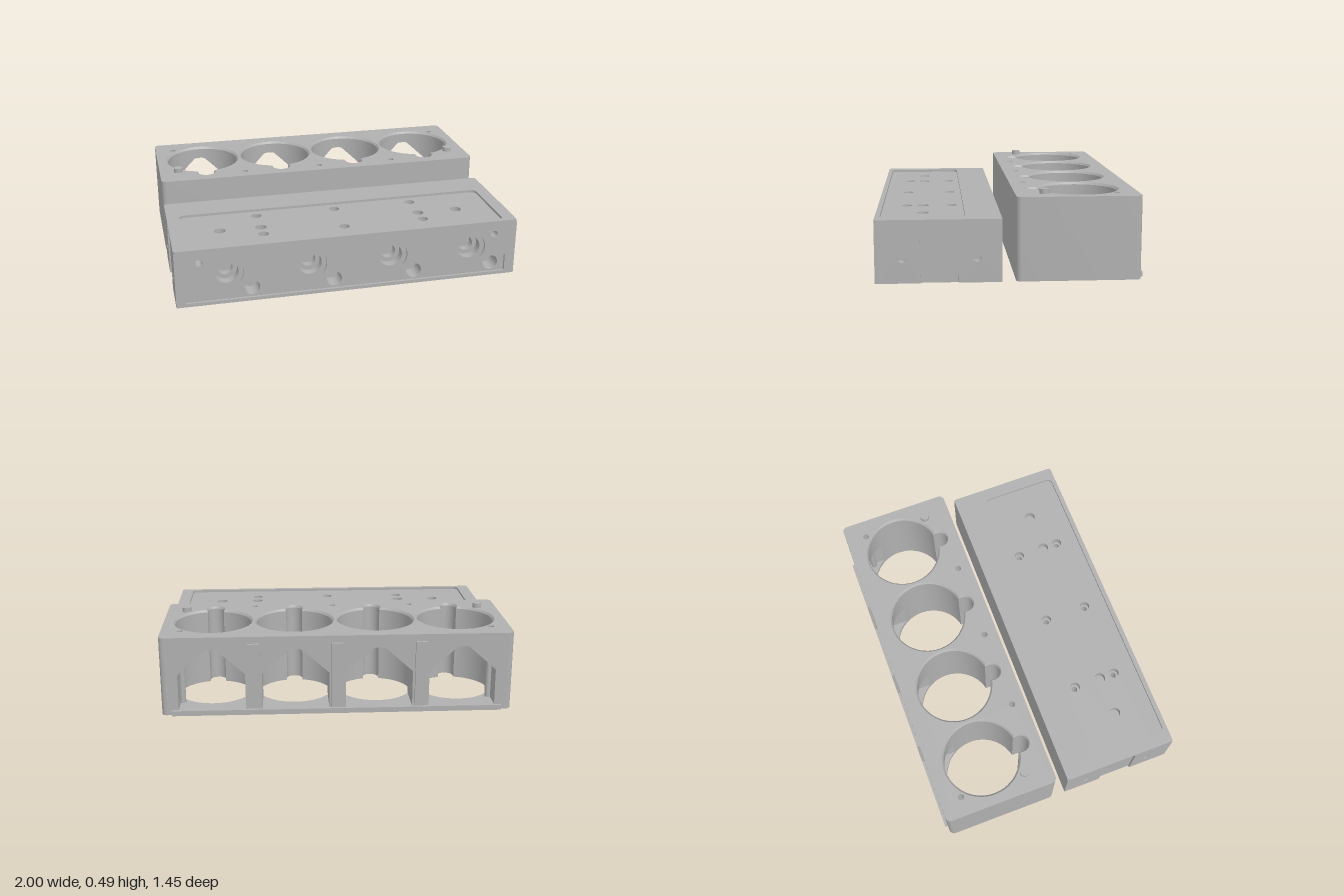
import * as THREE from 'three';
import { toCreasedNormals } from 'three/addons/utils/BufferGeometryUtils.js';

const metal = new THREE.MeshStandardMaterial({ color: 0xb0b0b0, side: THREE.DoubleSide });
metal.name = 'cast metal grey';

const CYL = [-0.7125, -0.2375, 0.2375, 0.7125];
const V = (x, y) => new THREE.Vector2(x, y);

// ---- shape helpers (plan shapes use y = -z) ----
const poly = (pts) => new THREE.Shape(pts);
const rect = (x0, y0, x1, y1) => poly([V(x0, y0), V(x1, y0), V(x1, y1), V(x0, y1)]);
function arc(cx, cy, r, a0, a1, n) {
  return Array.from({ length: n + 1 }, (_, i) => {
    const a = a0 + (a1 - a0) * i / n;
    return V(cx + r * Math.cos(a), cy + r * Math.sin(a));
  });
}
const circlePts = (x, y, r, n = 32) => arc(x, y, r, 0, Math.PI * 2, n).slice(0, -1);
const circle = (x, y, r) => poly(circlePts(x, y, r));
function roundRectPts(x0, y0, x1, y1, r) {
  const h = Math.PI / 2;
  return [...arc(x1 - r, y0 + r, r, -h, 0, 6), ...arc(x1 - r, y1 - r, r, 0, h, 6),
    ...arc(x0 + r, y1 - r, r, h, 2 * h, 6), ...arc(x0 + r, y0 + r, r, 2 * h, 3 * h, 6)];
}
function add(group, name, geo) {
  const m = new THREE.Mesh(geo, metal);
  m.name = name;
  group.add(m);
  return m;
}
function slab(shape, holes, depth) {
  shape.holes.push(...holes);
  return new THREE.ExtrudeGeometry(shape, { depth, bevelEnabled: false, curveSegments: 24 });
}
const slabY = (s, h, y0, y1) => slab(s, h, y1 - y0).rotateX(-Math.PI / 2).translate(0, y0, 0);
const slabZ = (s, h, z0, z1) => slab(s, h, z1 - z0).translate(0, 0, z0);
const slabX = (s, h, x0, x1) => slab(s, h, x1 - x0).rotateY(Math.PI / 2).translate(x0, 0, 0);

// Collects quads into one surface
function surface() {
  const pos = [];
  return {
    quad(a, b, c, d) { pos.push(...a, ...b, ...c, ...a, ...c, ...d); },
    geometry() {
      const g = new THREE.BufferGeometry();
      g.setAttribute('position', new THREE.Float32BufferAttribute(pos, 3));
      return toCreasedNormals(g, 0.5);
    },
  };
}
// Inward facing wall strip between plan points p and q
const strip = (s, p, q, yp0, yp1, yq0, yq1) =>
  s.quad([p.x, yp0, -p.y], [p.x, yp1, -p.y], [q.x, yq1, -q.y], [q.x, yq0, -q.y]);

// ---- cylinder block ----
const TOP = 0.46, BACK = 0.71, BORE_C = 0.395, R = 0.222, W = 0.19, SILL = 0.03, LIP = 0.447;
const roof = (dx) => Math.min(0.385, 0.24 + (W - Math.abs(dx)) * 0.9);

// Bore outline with its keyhole slot at the front
function keyhole(cx, r, s) {
  const h = Math.PI / 2, a = Math.asin(s / r), w = Math.acos(W / R);
  return [...arc(cx, BORE_C, r, -h + a, w, 16), ...arc(cx, BORE_C, r, w, Math.PI - w, 28).slice(1),
    ...arc(cx, BORE_C, r, Math.PI - w, 3 * h - a, 16).slice(1),
    ...arc(cx, 0.15, s, Math.PI, 2 * Math.PI, 16)];
}

function cylinderBlock() {
  const g = new THREE.Group();
  g.name = 'cylinderBlock';
  const outline = roundRectPts(-1, 0.03, 1, BACK, 0.03);
  const bolts = [[-0.89, 0.585], [0.89, 0.585], [-0.475, 0.11], [0, 0.11], [0.475, 0.11]]
    .map(([x, y]) => circlePts(x, y, 0.018, 20));
  const cap = (r, s) => {
    const shape = poly(outline);
    shape.holes.push(...CYL.map((x) => poly(keyhole(x, r, s))), ...bolts.map((p) => poly(p)));
    return new THREE.ShapeGeometry(shape).rotateX(-Math.PI / 2);
  };
  add(g, 'deck', cap(R + 0.01, 0.055).translate(0, TOP, 0));
  const under = cap(R, 0.048);
  under.index.array.reverse();
  under.computeVertexNormals();
  add(g, 'blockUnderside', under);

  // Side walls, leaving the back edge to the windowed wall
  const sides = surface();
  outline.forEach((p, i) => {
    const q = outline[(i + 1) % outline.length];
    if (p.y > BACK - 1e-6 && q.y > BACK - 1e-6) return;
    strip(sides, q, p, 0, TOP, 0, TOP);
  });
  add(g, 'blockSides', sides.geometry());

  const linings = surface();
  bolts.forEach((pts) => pts.forEach((p, i) => strip(linings, p, pts[(i + 1) % pts.length], 0, TOP, 0, TOP)));
  add(g, 'boltHoles', linings.geometry());

  const back = rect(-0.97, 0, 0.97, TOP);
  CYL.forEach((cx) => {
    const bore = surface(), rim = surface(), tunnel = surface();
    const pts = keyhole(cx, R, 0.048), wide = keyhole(cx, R + 0.01, 0.055);
    const inWindow = (p) => p.y > BORE_C && Math.abs(p.x - cx) < W + 1e-6;
    pts.forEach((p, i) => {
      const j = (i + 1) % pts.length, q = pts[j];
      if (inWindow(p) && inWindow(q)) {
        strip(bore, p, q, 0, SILL, 0, SILL);
        strip(bore, p, q, roof(p.x - cx), LIP, roof(q.x - cx), LIP);
      } else strip(bore, p, q, 0, LIP, 0, LIP);
      const u = wide[i], v = wide[j];
      rim.quad([p.x, LIP, -p.y], [u.x, TOP, -u.y], [v.x, TOP, -v.y], [q.x, LIP, -q.y]);
    });
    // Gabled window running from the back wall into the bore
    const edge = pts.filter(inWindow);
    const loop = [...edge.map((p) => [p.x, roof(p.x - cx), -p.y]),
      ...edge.map((p) => [p.x, SILL, -p.y]).reverse()];
    loop.forEach((a, i) => {
      const b = loop[(i + 1) % loop.length];
      tunnel.quad([a[0], a[1], -BACK], a, b, [b[0], b[1], -BACK]);
    });
    back.holes.push(poly(loop.map((a) => V(a[0], a[1]))));
    add(g, 'bore', bore.geometry());
    add(g, 'boreChamfer', rim.geometry());
    add(g, 'windowWalls', tunnel.geometry());
  });
  add(g, 'backWall', new THREE.ShapeGeometry(back).rotateY(Math.PI).translate(0, 0, -BACK));

  // Ribs and sill on the back wall
  [-0.475, 0, 0.475].forEach((x) => {
    add(g, 'backRib', new THREE.BoxGeometry(0.07, 0.38, 0.02)).position.set(x, 0.23, -0.717);
  });
  add(g, 'backSill', new THREE.BoxGeometry(1.88, 0.03, 0.02)).position.set(0, 0.015, -0.717);
  [-0.885, 0.885].forEach((x) => {
    add(g, 'dowel', new THREE.CylinderGeometry(0.027, 0.027, 0.06, 24)).position.set(x, 0.457, -0.19);
  });
  return g;
}

// ---- cylinder head ----
function cylinderHead() {
  const g = new THREE.Group();
  g.name = 'cylinderHead';
  const Z0 = 0.045, Z1 = 0.61, Z2 = 0.712, Z3 = 0.727, Y2 = 0.33, H = 0.345, X = 0.95;
  const bolts = [-0.475, 0, 0.475].flatMap((x) => [[x, 0.305], [x, 0.565]]);
  const bolt = (r) => bolts.map(([x, z]) => circle(x, -z, r));
  const blind = [-0.7125, -0.475, 0.475, 0.7125].map((x) => circle(x, -0.47, 0.033));
  const plan = () => rect(-X, -Z1, X, -Z0);

  // Body in layers: hollow base, core, counterbored top, recessed lid
  const lower = [0, 1].length && bolts.filter((b) => b[1] > 0.5).map(([x, z]) => circle(x, -z, 0.017));
  add(g, 'baseRim', slabY(plan(), [rect(-0.93, -0.5, 0.93, -0.085), ...lower], 0, 0.04));
  add(g, 'core', slabY(plan(), bolt(0.017), 0.04, 0.285));
  add(g, 'counterboredLayer', slabY(plan(), [...bolt(0.03), ...blind], 0.285, Y2));
  add(g, 'topRim', slabY(poly(roundRectPts(-1, -Z3, 1, -Z0, 0.015)),
    [poly(roundRectPts(-0.925, -0.7, 0.925, -0.24, 0.03))], Y2, H));

  // Front wall with plug ports, lower ports and corner holes
  const upper = (r) => CYL.map((x) => circle(x, 0.19, r));
  const small = () => [-0.863, 0.863].map((x) => circle(x, 0.265, 0.02));
  const low = CYL.map((x) => circle(x + 0.1425, 0.075, 0.045));
  add(g, 'frontWall', slabZ(rect(-X, 0, X, Y2), [...upper(0.068), ...low, ...small()], Z1, Z2));
  CYL.forEach((x) => add(g, 'plugSeat', slabZ(circle(x, 0.19, 0.068), [circle(x, 0.19, 0.042)], Z1 + 0.005, 0.66)));
  const a = Math.asin(0.065 / 0.097);
  const recess = [V(-0.945, 0.02), V(0.94, 0.02), V(0.94, 0.125),
    ...[...CYL].reverse().flatMap((x) => arc(x, 0.19, 0.097, -a, Math.PI + a, 28)), V(-0.945, 0.125)];
  add(g, 'frontFace', slabZ(rect(-1, 0, 1, Y2), [poly(recess), ...small()], Z2, Z3));

  // End walls with a shallow vertical groove and two ports each
  [-1, 1].forEach((side) => {
    const span = (t) => (side > 0 ? [X, t] : [-t, -X]);
    [[Z0, 0.28, 0.18], [0.485, Z2, 0.58]].forEach(([z0, z1, zc]) => {
      add(g, 'endWall', slabX(rect(-z1, 0, -z0, Y2), [circle(-zc, 0.135, 0.022)], ...span(1)));
    });
    add(g, 'endGroove', slabX(rect(-0.485, 0, -0.28, Y2), [], ...span(0.988)));
  });
  return g;
}

export function createModel() {
  const model = new THREE.Group();
  model.name = 'engineBlockAndHead';
  model.add(cylinderBlock(), cylinderHead());
  return model;
}
